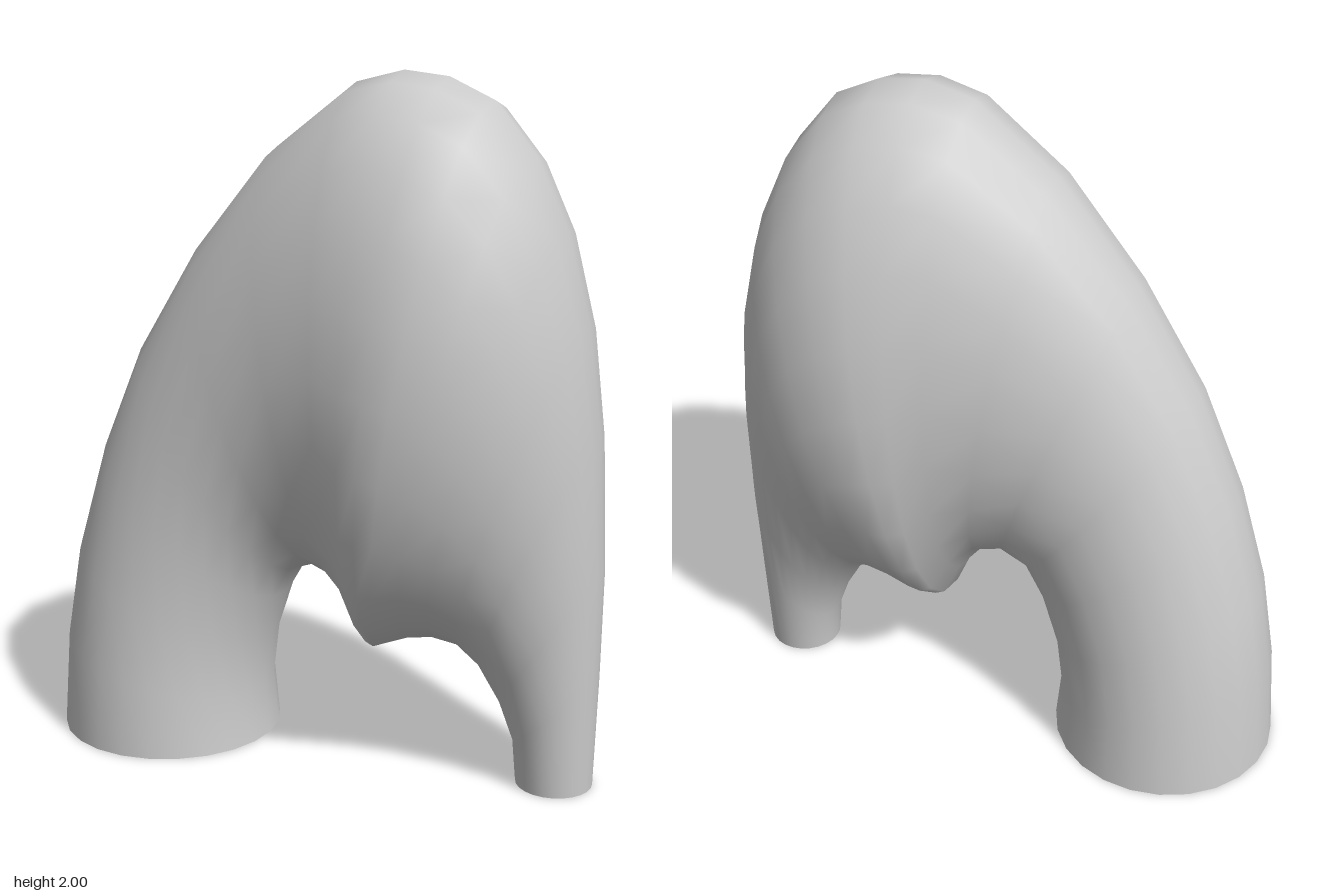
import * as THREE from 'three';

const SIDES = 24;

// Elliptical cross-sections along the arch:
// outer x, outer y, inner x, inner y, half width in z
const SECTIONS = [
  [-0.84, 0, -0.175, 0, 0.335],
  [-0.82, 0.3, -0.19, 0.15, 0.32],
  [-0.775, 0.58, -0.168, 0.32, 0.305],
  [-0.69, 0.88, -0.12, 0.46, 0.29],
  [-0.56, 1.19, -0.07, 0.545, 0.285],
  [-0.37, 1.5, 0, 0.57, 0.295],
  [-0.14, 1.78, 0.07, 0.54, 0.33],
  [0.1, 1.965, 0.13, 0.46, 0.37],
  [0.24, 2, 0.175, 0.355, 0.4],
  [0.37, 1.985, 0.2, 0.345, 0.42],
  [0.5, 1.925, 0.23, 0.36, 0.425],
  [0.62, 1.78, 0.3, 0.39, 0.405],
  [0.71, 1.59, 0.37, 0.403, 0.37],
  [0.78, 1.33, 0.44, 0.39, 0.31],
  [0.82, 1.03, 0.5, 0.335, 0.24],
  [0.84, 0.65, 0.56, 0.23, 0.17],
  [0.838, 0.33, 0.6, 0.12, 0.13],
  [0.83, 0, 0.61, 0, 0.11],
];

// Smooth skin joining the cross-sections
function archGeometry() {
  const positions = [];
  const indices = [];
  SECTIONS.forEach(([ox, oy, ix, iy, w], i) => {
    for (let j = 0; j < SIDES; j++) {
      const a = (j / SIDES) * Math.PI * 2;
      const c = Math.cos(a) / 2;
      positions.push(
        (ox + ix) / 2 + (ox - ix) * c,
        (oy + iy) / 2 + (oy - iy) * c,
        Math.sin(a) * w,
      );
      if (i === SECTIONS.length - 1) continue;
      const k = (j + 1) % SIDES;
      const p = i * SIDES + j;
      const q = i * SIDES + k;
      indices.push(p, q, p + SIDES, q, q + SIDES, p + SIDES);
    }
  });
  const geometry = new THREE.BufferGeometry();
  geometry.setAttribute('position', new THREE.Float32BufferAttribute(positions, 3));
  geometry.setIndex(indices);
  geometry.computeVertexNormals();
  return geometry;
}

// Flat sole closing the foot of a leg
function soleGeometry([ox, , ix, , w]) {
  return new THREE.CircleGeometry(1, SIDES)
    .rotateX(Math.PI / 2)
    .scale(Math.abs(ox - ix) / 2, 1, w)
    .translate((ox + ix) / 2, 0, 0);
}

export function createModel() {
  const group = new THREE.Group();
  group.name = 'taperedArch';
  const material = new THREE.MeshStandardMaterial({ color: 0xcccccc });
  const add = (name, geometry) => {
    const mesh = new THREE.Mesh(geometry, material);
    mesh.name = name;
    group.add(mesh);
  };

  add('archBody', archGeometry());
  add('thickLegSole', soleGeometry(SECTIONS[0]));
  add('thinLegSole', soleGeometry(SECTIONS[SECTIONS.length - 1]));
  return group;
}
